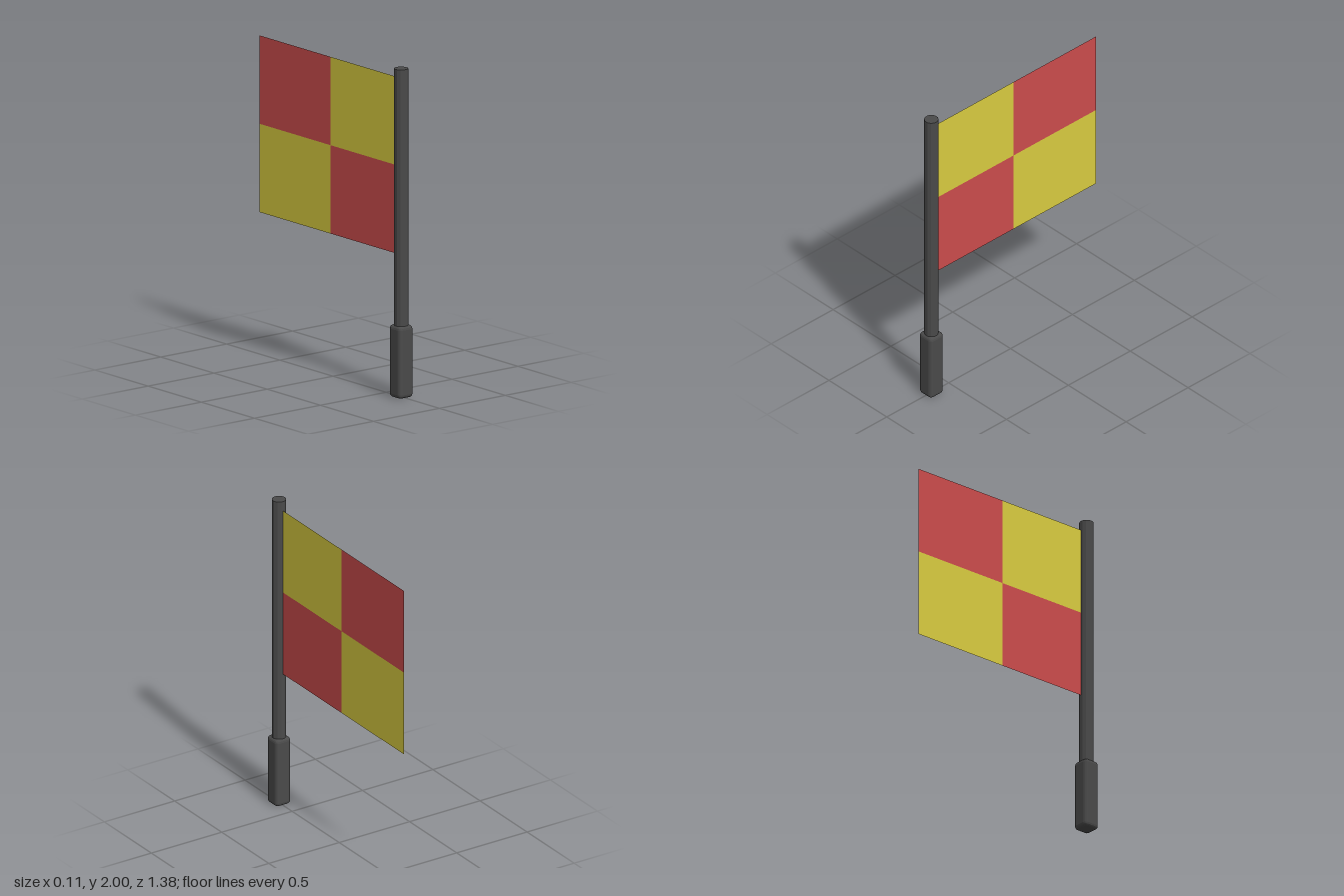
import * as THREE from 'three';
import { RoundedBoxGeometry } from 'three/addons/geometries/RoundedBoxGeometry.js';

const POLE_Z = 0.64;

export function createModel() {
  const group = new THREE.Group();
  const dark = new THREE.MeshStandardMaterial({ color: 0x4a4a4a, flatShading: true });
  const yellow = new THREE.MeshStandardMaterial({ color: 0xd9cc40, side: THREE.DoubleSide });
  const red = new THREE.MeshStandardMaterial({ color: 0xcc4c4c, side: THREE.DoubleSide });

  function add(name, geometry, material, x, y, z) {
    const mesh = new THREE.Mesh(geometry, material);
    mesh.name = name;
    mesh.position.set(x, y, z);
    group.add(mesh);
    return mesh;
  }

  // Square grip with rounded edges
  add('grip', new RoundedBoxGeometry(0.108, 0.44, 0.108, 2, 0.023), dark, 0, 0.22, POLE_Z);

  // Twelve-sided pole, a flat side facing the front
  const pole = add('pole', new THREE.CylinderGeometry(0.043, 0.043, 1.6, 12), dark, 0, 1.2, POLE_Z);
  pole.rotation.y = Math.PI / 12;

  // Thin flag of four chequered panels, running back from the pole's axis
  const w = 0.665, h = 0.538, bottom = 0.864;
  for (let row = 0; row < 2; row++) {
    for (let col = 0; col < 2; col++) {
      const panel = add(
        `flagPanel${row * 2 + col + 1}`,
        new THREE.PlaneGeometry(w, h),
        row === col ? red : yellow,
        0, bottom + (row + 0.5) * h, POLE_Z - (col + 0.5) * w
      );
      panel.rotation.y = Math.PI / 2;
    }
  }

  return group;
}
